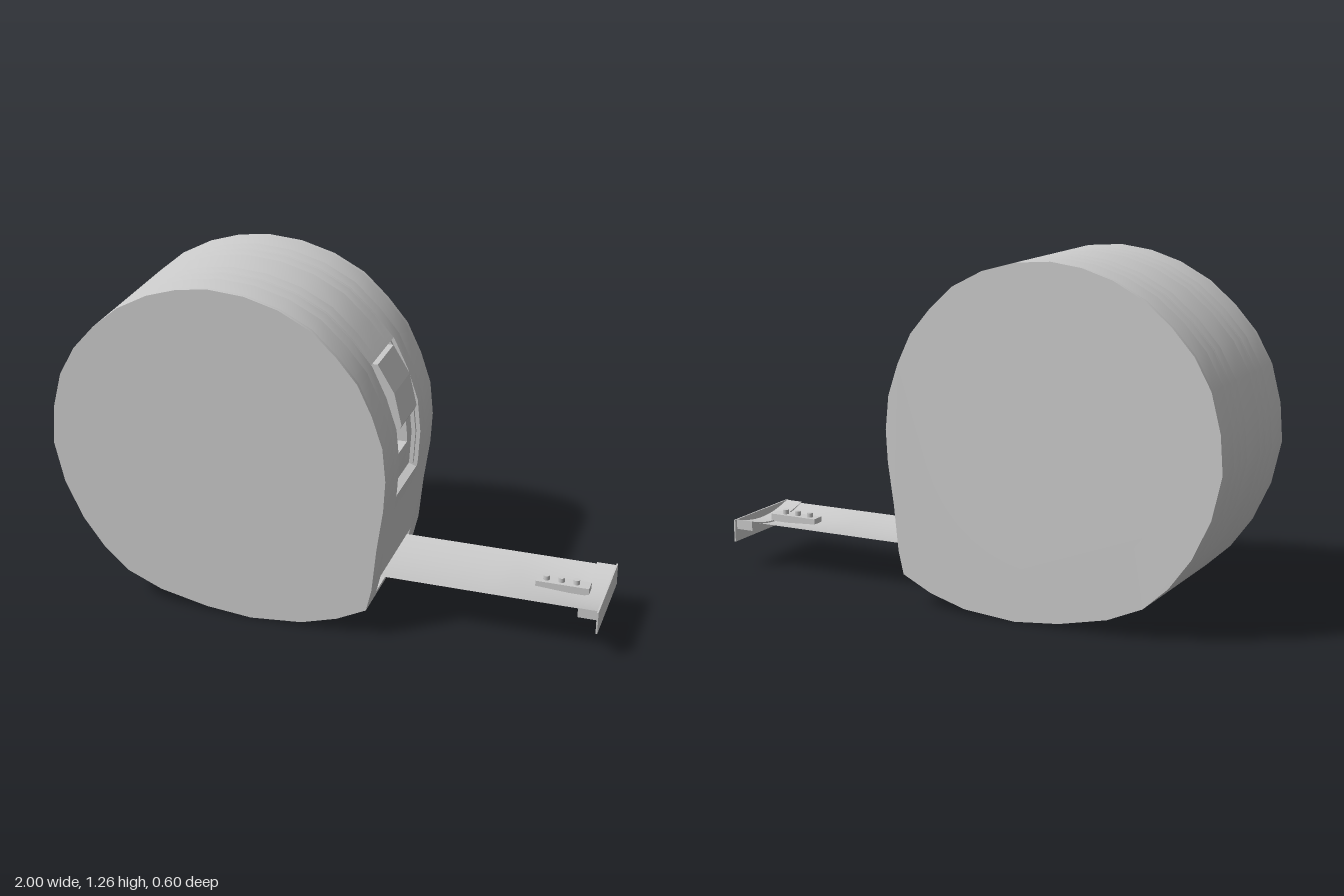
import * as THREE from 'three';
import { toCreasedNormals } from 'three/addons/utils/BufferGeometryUtils.js';

const material = new THREE.MeshStandardMaterial({ color: 0xcccccc });
const thin = new THREE.MeshStandardMaterial({ color: 0xcccccc, side: THREE.DoubleSide });

// Case outline: front edge (top to bottom), then round the bottom, back and top
const frontEdge = [
  [0.08, 1.075], [0.155, 0.985], [0.207, 0.875], [0.245, 0.76], [0.257, 0.636],
  [0.25, 0.52], [0.227, 0.364], [0.21, 0.2], [0.19, 0.115],
];
const backEdge = [
  [0.08, 0.06], [-0.055, 0.02], [-0.25, 0.003], [-0.42, 0.02], [-0.6, 0.06], [-0.73, 0.117],
  [-0.82, 0.2], [-0.9, 0.31], [-0.965, 0.45], [-1, 0.604], [-0.99, 0.74], [-0.955, 0.877],
  [-0.895, 0.985], [-0.815, 1.075], [-0.72, 1.155], [-0.607, 1.215], [-0.495, 1.25],
  [-0.38, 1.265], [-0.25, 1.255], [-0.125, 1.22], [-0.01, 1.16],
];

function edgeX(y) {
  const i = Math.max(1, frontEdge.findIndex((p) => p[1] <= y));
  const [x0, y0] = frontEdge[i - 1];
  const [x1, y1] = frontEdge[i];
  return x0 + ((x1 - x0) * (y - y0)) / (y1 - y0);
}

// Each cut is a list of [height, depth behind the front edge], from top to bottom
const mouthCut = [[0.2, 0], [0.2, 0.13], [0.135, 0.13], [0.135, 0]];
const windowCut = (d, pocket = []) => [
  [0.99, 0], [0.98, d], [0.875, d], [0.76, d], ...pocket,
  ...(pocket.length ? [] : [[0.636, d]]), [0.52, d], [0.508, d], [0.498, 0],
];
const pocketCut = [[0.735, 0.03], [0.735, 0.08], [0.636, 0.08], [0.62, 0.08], [0.62, 0.03]];

function caseShape(cuts) {
  const inCut = (y) => cuts.some((c) => y <= c[0][1 - 1] && y >= c[c.length - 1][0]);
  const front = frontEdge.filter((p) => !inCut(p[1])).map(([x, y]) => [x, y]);
  for (const cut of cuts) {
    const points = cut.map(([y, d]) => [edgeX(y) - d, y]);
    const at = front.findIndex((p) => p[1] < cut[0][0]);
    front.splice(at, 0, ...points);
  }
  return new THREE.Shape([...front, ...backEdge].map(([x, y]) => new THREE.Vector2(x, y)));
}

// Extrude a shape between two z positions
function slab(name, shape, z0, z1, crease = 0.5) {
  const geometry = new THREE.ExtrudeGeometry(shape, {
    depth: z1 - z0, bevelEnabled: false, curveSegments: 20,
  });
  geometry.translate(0, 0, z0);
  const mesh = new THREE.Mesh(toCreasedNormals(geometry, crease), material);
  mesh.name = name;
  return mesh;
}

function box(name, w, h, d, x, y, z) {
  const mesh = new THREE.Mesh(new THREE.BoxGeometry(w, h, d), material);
  mesh.position.set(x, y, z);
  mesh.name = name;
  return mesh;
}

function createCase() {
  const group = new THREE.Group();
  group.name = 'case';

  // Outer rims with the round side recess
  const rim = caseShape([]);
  const recess = new THREE.Path();
  recess.absarc(-0.36, 0.66, 0.473, 0, Math.PI * 2, true);
  rim.holes.push(recess);
  group.add(slab('leftRim', rim, 0.285, 0.3), slab('rightRim', rim, -0.3, -0.285));

  // Layers from the sides to the middle, adding the mouth, window and thumb pocket
  const layers = [
    [0.285, 0.19, []],
    [0.19, 0.133, [mouthCut]],
    [0.133, 0.122, [windowCut(0.015), mouthCut]],
    [0.122, 0.067, [windowCut(0.03), mouthCut]],
  ];
  for (const [outer, inner, cuts] of layers) {
    const shape = caseShape(cuts);
    group.add(slab('caseLayer', shape, inner, outer), slab('caseLayer', shape, -outer, -inner));
  }
  group.add(slab('caseCore', caseShape([windowCut(0.03, pocketCut), mouthCut]), -0.067, 0.067));
  return group;
}

// Lock button riding in the window
function createButton() {
  const profile = [
    [0.1, 0.978], [0.163, 0.978], [0.224, 0.877], [0.252, 0.757], [0.244, 0.74], [0.19, 0.745],
  ];
  const shape = new THREE.Shape(profile.map(([x, y]) => new THREE.Vector2(x, y)));
  return slab('lockButton', shape, -0.094, 0.094, 0.2);
}

// Blade: a thin sheet whose trough deepens towards the tip
function createBlade() {
  const half = 0.168;
  const length = 0.87;
  const geometry = new THREE.PlaneGeometry(length, half * 2, 24, 12);
  geometry.rotateX(-Math.PI / 2);
  geometry.translate(0.1 + length / 2, 0, 0);
  const pos = geometry.attributes.position;
  for (let i = 0; i < pos.count; i++) {
    const t = THREE.MathUtils.clamp((pos.getX(i) - 0.63) / 0.27, 0, 1);
    const trough = 0.014 + 0.017 * t;
    pos.setY(i, 0.186 - trough * (1 - (pos.getZ(i) / half) ** 2));
  }
  geometry.computeVertexNormals();
  const mesh = new THREE.Mesh(geometry, thin);
  mesh.name = 'blade';
  return mesh;
}

function createHook() {
  const group = new THREE.Group();
  group.name = 'endHook';

  // Saddle with a hollow top, extruded along the blade
  const saddle = new THREE.Shape();
  saddle.moveTo(-0.172, 0.153);
  saddle.lineTo(0.172, 0.153);
  saddle.lineTo(0.172, 0.19);
  saddle.quadraticCurveTo(0, 0.132, -0.172, 0.19);
  const mesh = slab('hookSaddle', saddle, 0, 0.07);
  mesh.rotation.y = Math.PI / 2;
  mesh.position.x = 0.925;
  group.add(mesh);

  // End plate, riveted tongue and rivets
  group.add(box('hookPlate', 0.006, 0.085, 0.368, 0.997, 0.1475, 0));
  group.add(box('hookTongue', 0.195, 0.028, 0.05, 0.8375, 0.172, 0));
  for (const x of [0.775, 0.83, 0.885]) {
    const rivet = new THREE.Mesh(new THREE.CylinderGeometry(0.012, 0.012, 0.03, 16), material);
    rivet.position.set(x, 0.188, 0);
    rivet.name = 'rivet';
    group.add(rivet);
  }
  return group;
}

export function createModel() {
  const model = new THREE.Group();
  model.name = 'tapeMeasure';
  model.add(createCase(), createButton(), createBlade(), createHook());
  return model;
}
